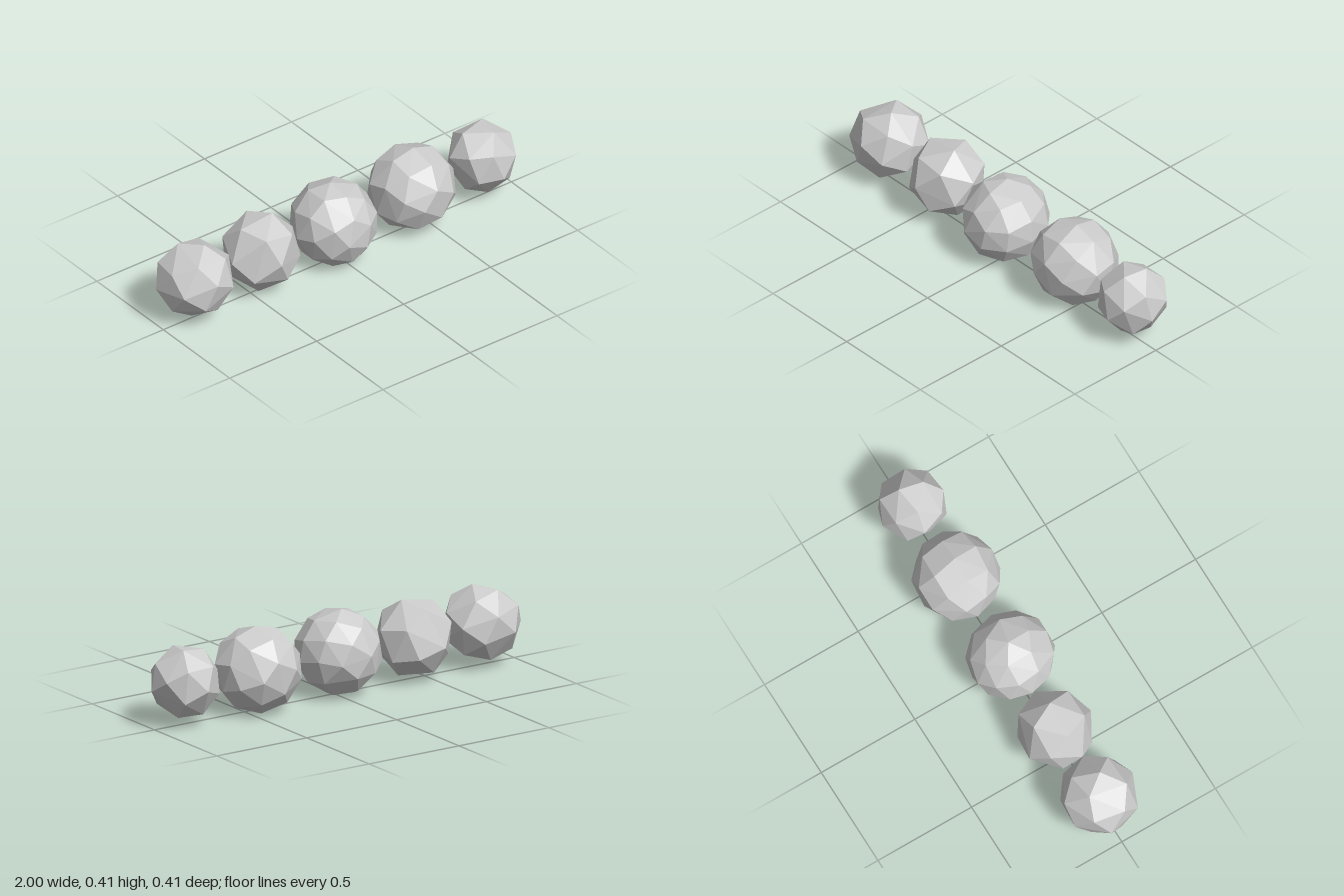
import * as THREE from 'three';
import { ConvexGeometry } from 'three/addons/geometries/ConvexGeometry.js';

// Each bead: number of corners, turn, and lowest / highest x, y, z
const BEADS = [
  { name: 'beadFarRight', corners: 24, turn: [0.2, 0.3, 0.1], min: [-1, 0.03, -0.18], max: [-0.635, 0.385, 0.17] },
  { name: 'beadRight', corners: 20, turn: [1.5, 0.1, 0.4], min: [-0.62, 0.025, -0.185], max: [-0.25, 0.385, 0.17] },
  { name: 'beadMiddle', corners: 42, turn: [0.5, 0.9, 0.2], min: [-0.225, 0, -0.205], max: [0.18, 0.405, 0.2] },
  { name: 'beadLeft', corners: 36, turn: [0.9, 0.4, 1.1], min: [0.24, 0, -0.205], max: [0.64, 0.405, 0.18] },
  { name: 'beadFarLeft', corners: 22, turn: [0.1, 0.5, 1.4], min: [0.675, 0.045, -0.175], max: [1, 0.37, 0.155] },
];

// Corners spread evenly over a unit sphere along a spiral
function spherePoints(count, turn) {
  const euler = new THREE.Euler(...turn);
  return Array.from({ length: count }, (_, i) => {
    const y = 1 - (2 * i + 1) / count;
    const angle = i * Math.PI * (3 - Math.sqrt(5));
    const r = Math.sqrt(1 - y * y);
    return new THREE.Vector3(r * Math.cos(angle), y, r * Math.sin(angle)).applyEuler(euler);
  });
}

// Faceted bead: the hull of the corners, fitted to its box
function makeBead({ name, corners, turn, min, max }, material) {
  const points = spherePoints(corners, turn);
  const from = new THREE.Box3().setFromPoints(points);
  const to = new THREE.Box3(new THREE.Vector3(...min), new THREE.Vector3(...max));
  const scale = to.getSize(new THREE.Vector3()).divide(from.getSize(new THREE.Vector3()));
  const fromCentre = from.getCenter(new THREE.Vector3());
  points.forEach((p) => p.sub(fromCentre).multiply(scale));

  const bead = new THREE.Mesh(new ConvexGeometry(points), material);
  bead.name = name;
  to.getCenter(bead.position);
  return bead;
}

export function createModel() {
  const group = new THREE.Group();
  group.name = 'facetedBeads';
  const material = new THREE.MeshStandardMaterial({ color: 0xcccccc, flatShading: true });
  BEADS.forEach((bead) => group.add(makeBead(bead, material)));
  return group;
}
